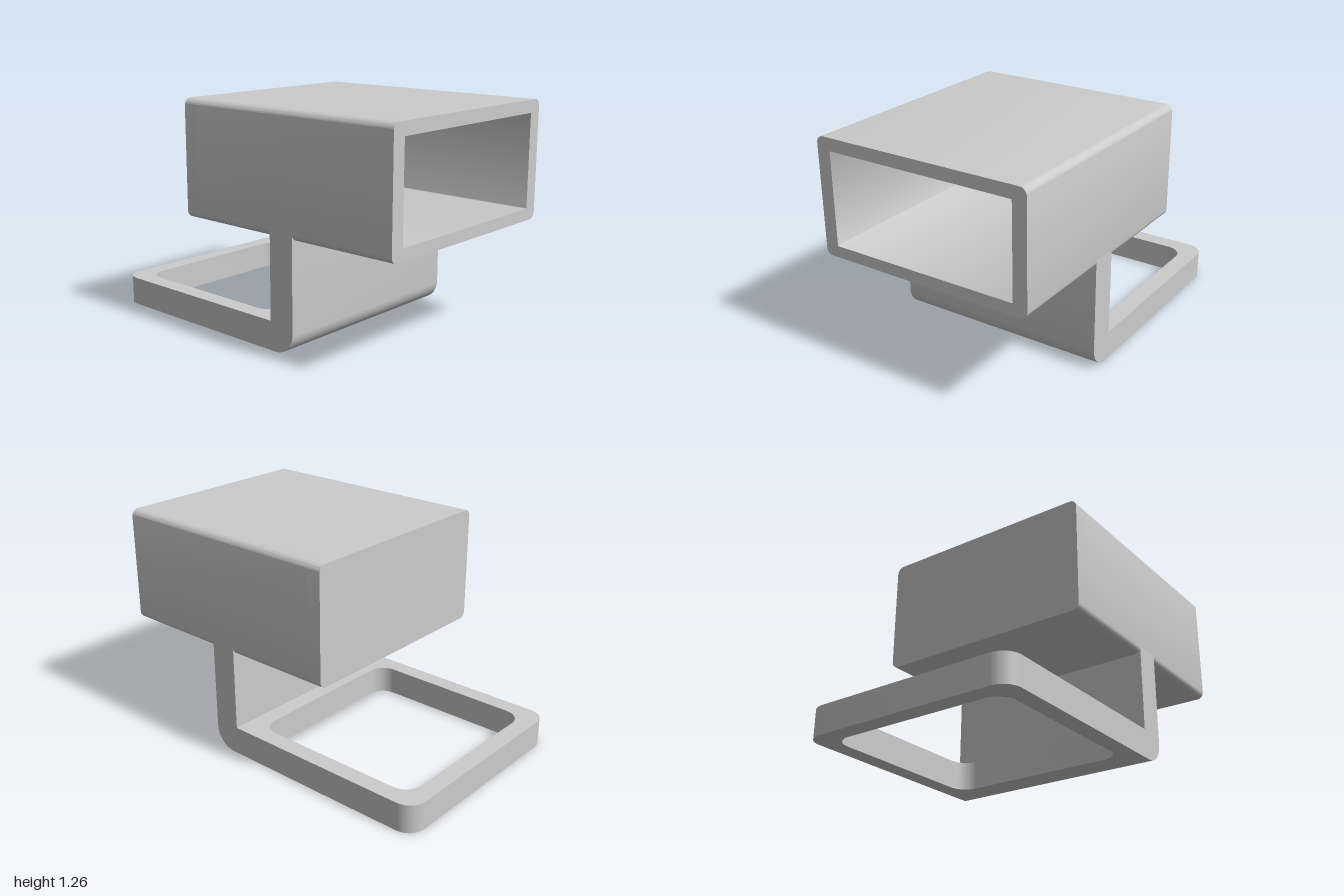
import * as THREE from 'three';
import { toCreasedNormals } from 'three/addons/utils/BufferGeometryUtils.js';

const W = 0.625; // half width shared by all parts

// Traces a rectangle; radii run bottom-left, bottom-right, top-right, top-left
function roundedRect(path, x0, y0, x1, y1, [bl, br, tr, tl]) {
  path.moveTo(x0 + bl, y0);
  path.lineTo(x1 - br, y0);
  if (br) path.absarc(x1 - br, y0 + br, br, -Math.PI / 2, 0, false);
  path.lineTo(x1, y1 - tr);
  if (tr) path.absarc(x1 - tr, y1 - tr, tr, 0, Math.PI / 2, false);
  path.lineTo(x0 + tl, y1);
  if (tl) path.absarc(x0 + tl, y1 - tl, tl, Math.PI / 2, Math.PI, false);
  path.lineTo(x0, y0 + bl);
  if (bl) path.absarc(x0 + bl, y0 + bl, bl, Math.PI, Math.PI * 1.5, false);
  return path;
}

function extrude(shape, depth) {
  return new THREE.ExtrudeGeometry(shape, { depth, bevelEnabled: false, curveSegments: 10 });
}

export function createModel() {
  const group = new THREE.Group();
  const material = new THREE.MeshStandardMaterial({ color: 0xcccccc });
  const add = (name, geometry) => {
    const mesh = new THREE.Mesh(toCreasedNormals(geometry, 0.6), material);
    mesh.name = name;
    group.add(mesh);
  };

  // Box sleeve, open at the front
  const outline = () => roundedRect(new THREE.Shape(), -W, 0.607, W, 1.26, [0.04, 0.04, 0.04, 0.04]);
  const sleeve = outline();
  sleeve.holes.push(roundedRect(new THREE.Path(), -0.545, 0.672, 0.545, 1.19, [0.005, 0.005, 0.005, 0.005]));
  add('boxSleeve', extrude(sleeve, 1.33).translate(0, 0, -0.33));

  // Closed rear wall of the box
  add('boxBackWall', extrude(outline(), 0.08).translate(0, 0, -0.41));

  // Upright plate with a rounded lower front edge, reaching into the box floor
  const upright = roundedRect(new THREE.Shape(), 0.22, 0, 0.375, 0.65, [0, 0.12, 0, 0]);
  add('uprightPlate', extrude(upright, 2 * W).rotateY(-Math.PI / 2).translate(W, 0, 0));

  // Flat base frame with rounded rear corners and a rounded opening
  const base = roundedRect(new THREE.Shape(), -W, -0.22, W, 1, [0, 0, 0.1, 0.1]);
  base.holes.push(roundedRect(new THREE.Path(), -0.525, -0.12, 0.525, 0.9, [0.1, 0.1, 0.1, 0.1]));
  add('baseFrame', extrude(base, 0.16).rotateX(-Math.PI / 2));

  return group;
}
